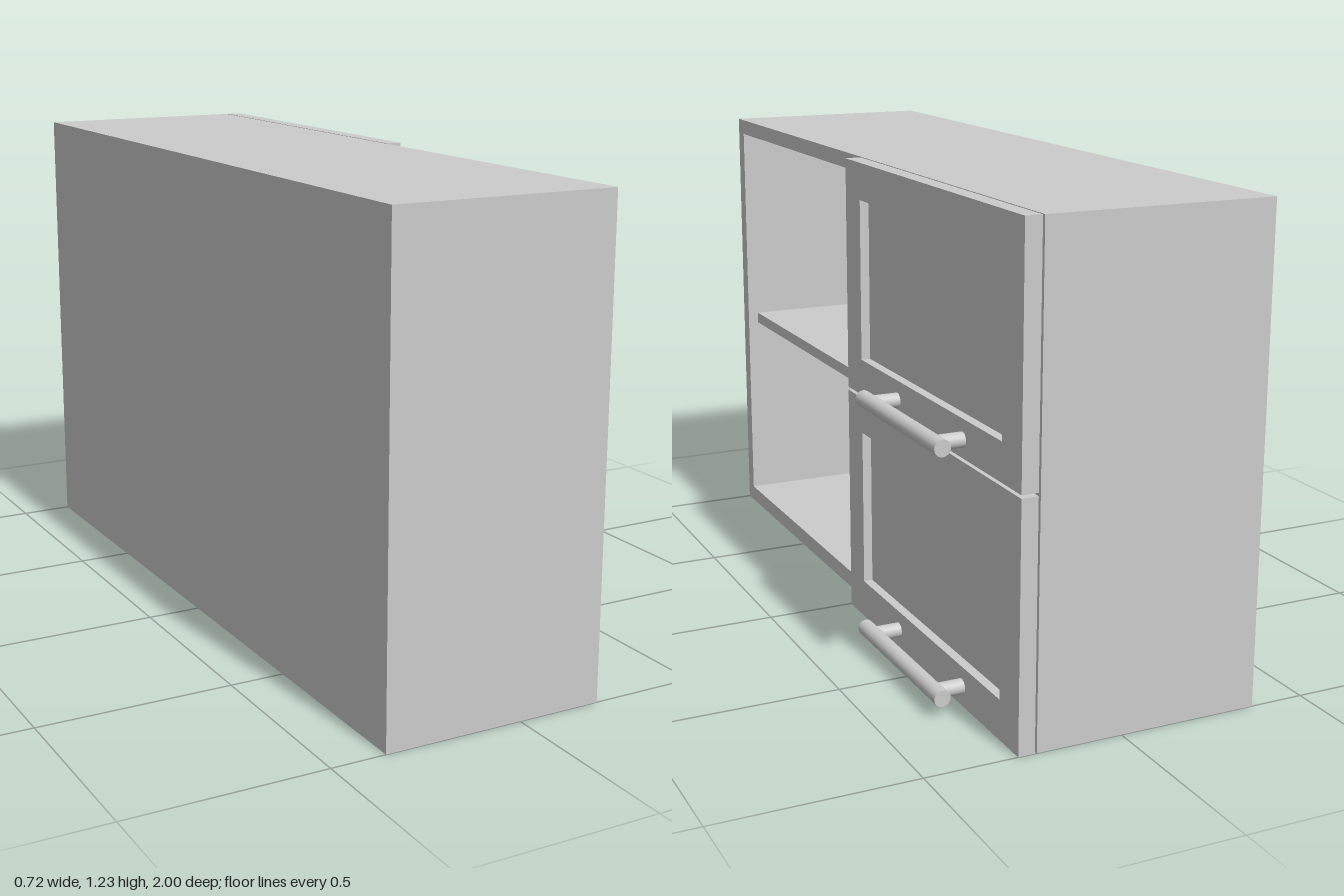
import * as THREE from 'three';

const material = new THREE.MeshStandardMaterial({ color: 0xcccccc });

function addMesh(parent, name, geometry, x = 0, y = 0, z = 0) {
  const mesh = new THREE.Mesh(geometry, material);
  mesh.name = name;
  mesh.position.set(x, y, z);
  parent.add(mesh);
  return mesh;
}

// Box given by its minimum and maximum corners
function addBox(parent, name, [x0, y0, z0], [x1, y1, z1]) {
  return addMesh(parent, name, new THREE.BoxGeometry(x1 - x0, y1 - y0, z1 - z0),
    (x0 + x1) / 2, (y0 + y1) / 2, (z0 + z1) / 2);
}

// Rectangle in the z-y plane; shape x stands for -z
function rectangle(PathType, z0, y0, z1, y1) {
  return new PathType([[-z1, y0], [-z0, y0], [-z0, y1], [-z1, y1]]
    .map(([x, y]) => new THREE.Vector2(x, y)));
}

// Flat frame with rectangular openings, thick along x
function addFrame(parent, name, x0, x1, outer, openings) {
  const shape = rectangle(THREE.Shape, ...outer);
  shape.holes = openings.map((o) => rectangle(THREE.Path, ...o));
  const geometry = new THREE.ExtrudeGeometry(shape, { depth: x1 - x0, bevelEnabled: false });
  geometry.rotateY(Math.PI / 2);
  return addMesh(parent, name, geometry, x0);
}

const HEIGHT = 1.225;
const BACK = -0.36;
const BACK_INNER = -0.325;
const FRONT = 0.22;
const DOOR_BACK = 0.225;
const DOOR_FRONT = 0.267;

// Bar handle on two posts
function createHandle(y) {
  const handle = new THREE.Group();
  handle.name = 'handle';
  const barX = 0.338;
  const bar = new THREE.CylinderGeometry(0.021, 0.021, 0.47, 32).rotateX(Math.PI / 2);
  addMesh(handle, 'handleBar', bar, barX, y, -0.515);
  const length = barX - DOOR_FRONT + 0.004;
  for (const z of [-0.33, -0.705]) {
    const post = new THREE.CylinderGeometry(0.019, 0.019, length, 32).rotateZ(Math.PI / 2);
    addMesh(handle, 'handlePost', post, barX - length / 2, y, z);
  }
  return handle;
}

// Door with a recessed centre panel
function createDoor(name, y0, y1, panelY0, panelY1, handleY) {
  const door = new THREE.Group();
  door.name = name;
  addFrame(door, 'doorFrame', DOOR_BACK, DOOR_FRONT,
    [-1, y0, -0.003, y1], [[-0.905, panelY0, -0.097, panelY1]]);
  addBox(door, 'doorPanel', [DOOR_BACK, panelY0, -0.905], [0.243, panelY1, -0.097]);
  door.add(createHandle(handleY));
  return door;
}

export function createModel() {
  const model = new THREE.Group();
  model.name = 'wallCabinet';

  // Carcass: side walls, divider, top and bottom in one frame, closed by a back
  const bays = [[0.035, 0.045, 0.957, 1.183], [-0.957, 0.045, -0.035, 1.183]];
  addFrame(model, 'carcass', BACK_INNER, FRONT, [-1, 0, 1, HEIGHT], bays);
  addBox(model, 'backPanel', [BACK, 0, -1], [BACK_INNER, HEIGHT, 1]);

  // One shelf in each bay, set back from the front edge
  for (const [z0, , z1] of bays) {
    addBox(model, 'shelf', [BACK_INNER, 0.587, z0], [FRONT - 0.03, 0.618, z1]);
  }

  model.add(createDoor('lowerDoor', 0, 0.61, 0.1, 0.515, 0.05));
  model.add(createDoor('upperDoor', 0.618, HEIGHT, 0.713, 1.13, 0.663));
  return model;
}
